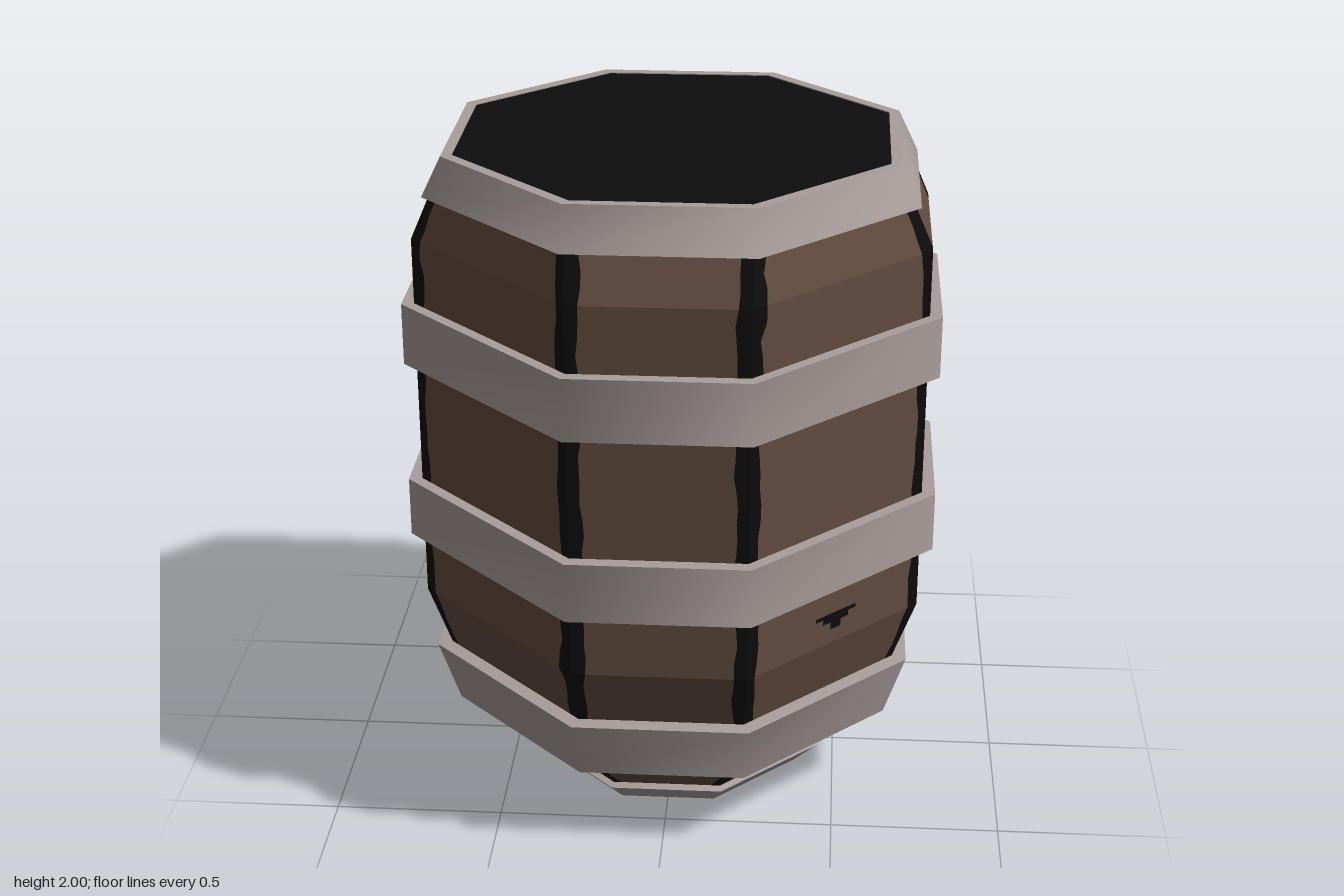
import * as THREE from 'three';

// Octagon with half-width a and half-length c of its straight sides
function corners(a, c) {
  return [[-c, a], [c, a], [a, c], [a, -c], [c, -a], [-c, -a], [-a, -c], [-a, c]];
}

function buffer(positions, index) {
  const g = new THREE.BufferGeometry();
  g.setAttribute('position', new THREE.Float32BufferAttribute(positions, 3));
  if (index) g.setIndex(index);
  g.computeVertexNormals();
  return g;
}

// Octagonal hoop from a profile of [y, a, c]; each profile step keeps its own sharp edge
function hoopGeometry(profile) {
  const pos = [], idx = [];
  for (let s = 0; s < profile.length - 1; s++) {
    const base = pos.length / 3;
    for (const [y, a, c] of [profile[s], profile[s + 1]]) {
      for (const [x, z] of corners(a, c)) pos.push(x, y, z);
    }
    for (let i = 0; i < 8; i++) {
      const a0 = base + i, b0 = base + (i + 1) % 8;
      idx.push(a0, b0, b0 + 8, a0, b0 + 8, a0 + 8);
    }
  }
  return buffer(pos, idx);
}

function octagonCap(a, c) {
  return new THREE.ShapeGeometry(new THREE.Shape(corners(a, c).map(([x, z]) => new THREE.Vector2(x, -z))));
}

// Body outline: [y, a, c]
const BODY = [[0.05, 0.4, 0.15], [0.25, 0.6, 0.225], [0.45, 0.672, 0.24], [0.63, 0.737, 0.25],
  [1.75, 0.737, 0.25], [1.87, 0.685, 0.25], [1.99, 0.625, 0.25]];

function bodyAt(y) {
  let i = 0;
  while (i < BODY.length - 2 && y > BODY[i + 1][0]) i++;
  const [p, q] = [BODY[i], BODY[i + 1]];
  const t = (y - p[0]) / (q[0] - p[0]);
  return [p[1] + (q[1] - p[1]) * t, p[2] + (q[2] - p[2]) * t];
}

// Ragged width of the dark joint on one side of a corner
function jointWidth(y, corner, side) {
  const k = corner * 2 + side;
  const wobble = 0.005 * Math.sin(y * 17 + k * 2.3) + 0.003 * Math.sin(y * 43 + k * 5.1);
  const knotY = 0.65 + (k * 0.37) % 1.15;
  const knot = k % 3 === 0 && Math.abs(y - knotY) < 0.06 ? 0.02 : 0;
  return (0.037 + wobble + knot) * Math.min(1, 0.6 + y * 0.6);
}

// Staves and the dark joints between them, split along each side
function bodyGeometries() {
  const levels = [];
  for (let i = 0; i < BODY.length - 1; i++) {
    const y0 = BODY[i][0], y1 = BODY[i + 1][0], n = Math.ceil((y1 - y0) / 0.05);
    for (let j = 0; j < n; j++) levels.push(y0 + (y1 - y0) * j / n);
  }
  levels.push(BODY[BODY.length - 1][0]);
  const wood = [], joints = [];
  for (let f = 0; f < 8; f++) {
    const rows = levels.map((y) => {
      const ring = corners(...bodyAt(y));
      const p = new THREE.Vector3(ring[f][0], y, ring[f][1]);
      const n = (f + 1) % 8;
      const q = new THREE.Vector3(ring[n][0], y, ring[n][1]);
      const len = p.distanceTo(q);
      return [p, p.clone().lerp(q, jointWidth(y, f, 1) / len),
        q.clone().lerp(p, jointWidth(y, n, 0) / len), q];
    });
    for (let r = 0; r < rows.length - 1; r++) {
      for (let k = 0; k < 3; k++) {
        const a = rows[r][k], b = rows[r][k + 1], c = rows[r + 1][k + 1], d = rows[r + 1][k];
        const out = k === 1 ? wood : joints;
        for (const v of [a, b, c, a, c, d]) out.push(v.x, v.y, v.z);
      }
    }
  }
  return [buffer(wood), buffer(joints)];
}

export function createModel() {
  const wood = new THREE.MeshStandardMaterial({ color: 0x634c3f });
  wood.name = 'brownWood';
  const metal = new THREE.MeshStandardMaterial({ color: 0xa89d9a });
  metal.name = 'greyMetal';
  const dark = new THREE.MeshStandardMaterial({ color: 0x0d0d0d });
  dark.name = 'black';

  const barrel = new THREE.Group();
  barrel.name = 'barrel';
  const add = (name, geometry, material) => {
    const mesh = new THREE.Mesh(geometry, material);
    mesh.name = name;
    barrel.add(mesh);
    return mesh;
  };

  const [staves, joints] = bodyGeometries();
  add('staves', staves, wood);
  add('staveJoints', joints, dark);

  // Metal hoops
  const hoops = {
    lowerHoop: [[0.25, 0.59, 0.22], [0.25, 0.65, 0.24], [0.44, 0.712, 0.255], [0.445, 0.66, 0.24]],
    middleHoop: [[0.82, 0.73, 0.25], [0.82, 0.776, 0.26], [1.0, 0.776, 0.26], [1.0, 0.73, 0.25]],
    upperHoop: [[1.37, 0.73, 0.25], [1.37, 0.773, 0.26], [1.555, 0.773, 0.26], [1.555, 0.73, 0.25]],
    topRim: [[1.87, 0.67, 0.25], [1.88, 0.7, 0.265], [2.0, 0.642, 0.262], [2.0, 0.612, 0.245], [1.98, 0.612, 0.245]],
    baseRim: [[0, 0.38, 0.14], [0.07, 0.448, 0.165], [0.085, 0.42, 0.155]],
  };
  for (const [name, profile] of Object.entries(hoops)) add(name, hoopGeometry(profile), metal);

  // Lid and underside
  const lid = add('lid', octagonCap(0.614, 0.246), dark);
  lid.rotation.x = -Math.PI / 2;
  lid.position.y = 1.997;
  const underside = add('underside', octagonCap(0.38, 0.14), metal);
  underside.rotation.x = Math.PI / 2;

  // Dark wood marks on one diagonal stave: [offset, y, width, height]
  const marks = new THREE.Group();
  marks.name = 'woodMarks';
  for (const [x, y, w, h] of [[0, 0.722, 0.16, 0.012], [0, 0.708, 0.1, 0.018],
    [0, 0.688, 0.04, 0.024], [-0.05, 0.812, 0.13, 0.016]]) {
    const mark = new THREE.Mesh(new THREE.PlaneGeometry(w, h), dark);
    mark.name = 'woodMark';
    mark.position.set(x, y, 0.7);
    marks.add(mark);
  }
  marks.rotation.y = Math.PI / 4;
  barrel.add(marks);

  return barrel;
}
